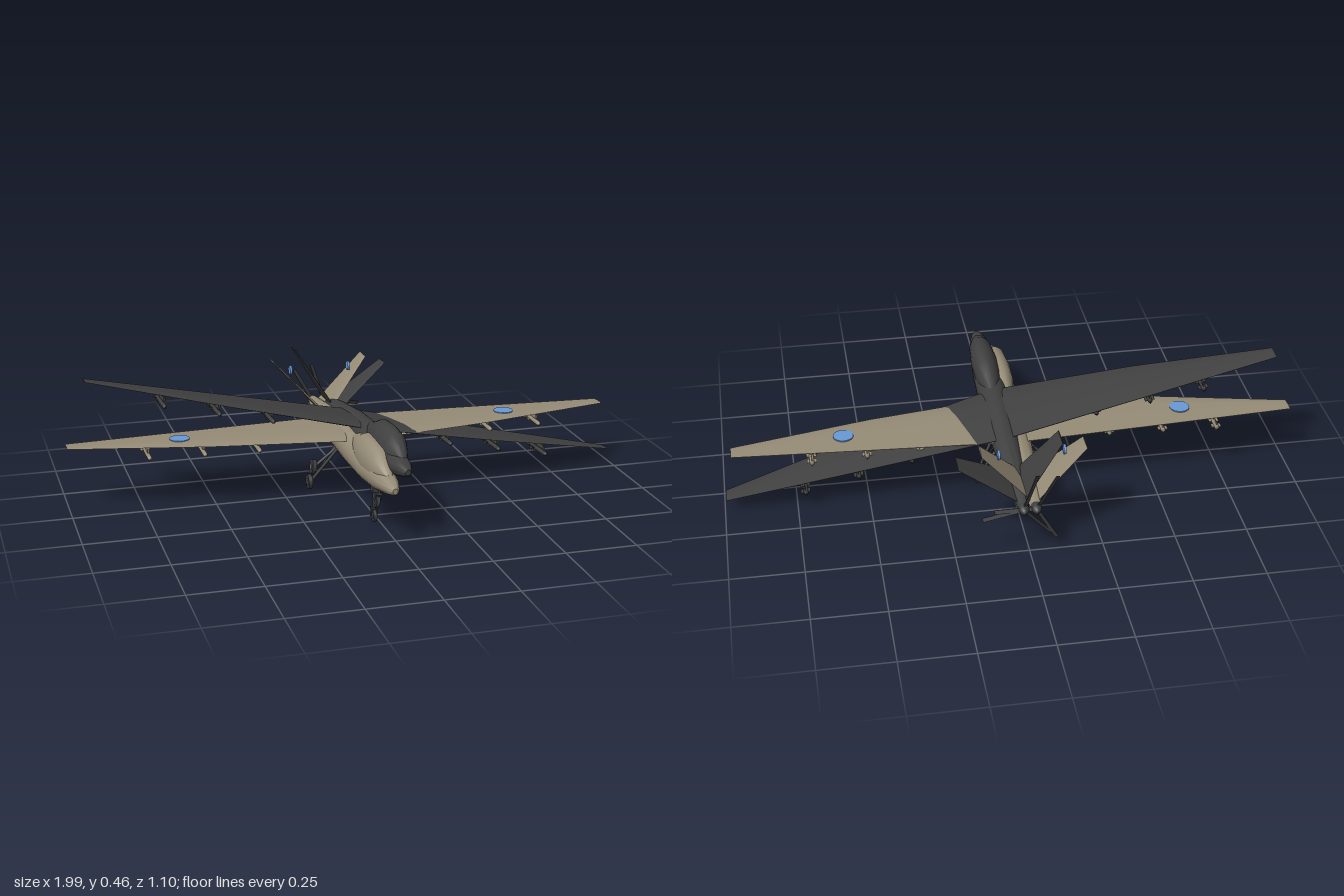
import * as THREE from 'three';
import { toCreasedNormals } from 'three/addons/utils/BufferGeometryUtils.js';

const material = (name, color) => {
  const m = new THREE.MeshStandardMaterial({ color });
  m.name = name;
  return m;
};
const V = (x, y, z) => new THREE.Vector3(x, y, z);

// Skin a list of closed rings, cap both ends, and keep faces outward
function loft(rings, crease = 0.6) {
  const n = rings[0].length, pts = rings.flat(), tris = [];
  for (let i = 0; i < rings.length - 1; i++) {
    for (let j = 0; j < n; j++) {
      const a = i * n + j, b = i * n + (j + 1) % n;
      tris.push([a, b, b + n], [a, b + n, a + n]);
    }
  }
  const last = (rings.length - 1) * n;
  for (let j = 1; j < n - 1; j++) tris.push([0, j + 1, j], [last, last + j, last + j + 1]);
  let volume = 0;
  for (const [a, b, c] of tris) volume += pts[a].dot(pts[b].clone().cross(pts[c]));
  const index = tris.flatMap(([a, b, c]) => (volume < 0 ? [a, c, b] : [a, b, c]));
  const g = new THREE.BufferGeometry().setFromPoints(pts);
  g.setIndex(index);
  return toCreasedNormals(g, crease);
}

// Elliptic body along z from stations [z, centreY, halfWidth, halfHeight]
const body = (stations, sides = 24) => loft(stations.map(([z, y, w, h]) =>
  Array.from({ length: sides }, (_, i) => {
    const a = (i / sides) * Math.PI * 2;
    return V(w * Math.cos(a), y + h * Math.sin(a), z);
  })));

// Airfoil outline: [fraction of chord, fraction of thickness]
const FOIL = [[0, 0], [0.08, 0.3], [0.3, 0.5], [0.65, 0.35], [1, 0.04],
  [1, -0.04], [0.65, -0.25], [0.3, -0.4], [0.08, -0.25]];
const foil = (x, y, lead, trail, thick, nx = 0, ny = 1) => FOIL.map(([c, t]) =>
  V(x + nx * t * thick, y + ny * t * thick, lead + (trail - lead) * c));

// Add a named mesh to a parent
function add(parent, name, geometry, mat, x = 0, y = 0, z = 0) {
  const mesh = new THREE.Mesh(geometry, mat);
  mesh.name = name;
  mesh.position.set(x, y, z);
  parent.add(mesh);
  return mesh;
}

// Round rod between two points
function rod(parent, name, a, b, r, mat) {
  const d = b.clone().sub(a), mid = a.clone().add(b).multiplyScalar(0.5);
  const m = add(parent, name, new THREE.CylinderGeometry(r, r, d.length(), 10), mat, mid.x, mid.y, mid.z);
  m.quaternion.setFromUnitVectors(V(0, 1, 0), d.normalize());
}

function wheel(parent, name, r, w, x, y, z, tyre, hub) {
  add(parent, name, new THREE.CylinderGeometry(r, r, w, 20).rotateZ(Math.PI / 2), tyre, x, y, z);
  add(parent, name + 'Hub', new THREE.CylinderGeometry(r * 0.5, r * 0.5, w + 0.004, 14).rotateZ(Math.PI / 2), hub, x, y, z);
}

// Missile with launch rail, nose at z = 0
function missile(skin) {
  const g = new THREE.Group();
  g.name = 'missile';
  const profile = [[0, -0.165], [0.008, -0.165], [0.008, -0.015], [0.006, -0.005], [0, 0]]
    .map(([r, z]) => new THREE.Vector2(r, z));
  add(g, 'missileBody', new THREE.LatheGeometry(profile, 12).rotateX(Math.PI / 2), skin);
  for (const z of [-0.112, -0.148]) {
    add(g, 'verticalFin', new THREE.BoxGeometry(0.002, 0.034, 0.022), skin, 0, 0, z);
    add(g, 'horizontalFin', new THREE.BoxGeometry(0.034, 0.002, 0.022), skin, 0, 0, z);
  }
  add(g, 'launchRail', new THREE.BoxGeometry(0.007, 0.014, 0.09), skin, 0, 0.018, -0.08);
  add(g, 'pylon', new THREE.BoxGeometry(0.004, 0.02, 0.05), skin, 0, 0.027, -0.08);
  return g;
}

function aircraft(skin, metal, hub, marking) {
  const craft = new THREE.Group(), g = new THREE.Group();
  g.name = 'airframe';
  g.position.set(0, -0.19, 0.54); // pivot at the propeller hub
  craft.add(g);

  // Fuselage and bulged upper nose
  add(g, 'fuselage', body([
    [0.55, 0.192, 0.009, 0.01], [0.535, 0.192, 0.018, 0.018], [0.49, 0.193, 0.031, 0.03],
    [0.4, 0.19, 0.044, 0.045], [0.28, 0.186, 0.052, 0.052], [0.1, 0.19, 0.055, 0.06],
    [-0.1, 0.19, 0.052, 0.056], [-0.3, 0.189, 0.04, 0.041], [-0.5, 0.187, 0.02, 0.019],
    [-0.52, 0.187, 0.016, 0.016]]), skin);
  add(g, 'noseBulge', body([
    [0.48, 0.215, 0.012, 0.01], [0.44, 0.217, 0.028, 0.038], [0.38, 0.218, 0.042, 0.067],
    [0.3, 0.218, 0.048, 0.073], [0.22, 0.218, 0.046, 0.072], [0.16, 0.22, 0.036, 0.048],
    [0.09, 0.222, 0.02, 0.026]]), skin);

  // One-piece wing, tip to tip
  const half = [[0.03, 0.115, -0.182, 0.026], [0.5, 0.043, -0.154, 0.014], [0.982, -0.062, -0.123, 0.005]];
  const spans = [...half.map(([x, ...r]) => [-x, ...r]).reverse(), ...half];
  add(g, 'wing', loft(spans.map(([x, l, t, h]) => foil(x, 0.227, l, t, h))), skin);

  for (const s of [-1, 1]) {
    // V tail
    add(g, 'tailFin', loft([
      foil(s * 0.01, 0.195, -0.315, -0.495, 0.012, -s * 0.75, 0.66),
      foil(s * 0.175, 0.375, -0.405, -0.48, 0.005, -s * 0.75, 0.66)]), skin);

    // Underwing stores
    for (const [x, z] of [[0.33, 0.038], [0.52, 0.028], [0.71, 0.015]]) {
      const m = missile(skin);
      m.position.set(s * x, 0.192, z);
      g.add(m);
    }

    // Main landing gear
    rod(g, 'mainLeg', V(s * 0.03, 0.155, -0.04), V(s * 0.122, 0.03, -0.07), 0.006, metal);
    rod(g, 'mainBrace', V(s * 0.03, 0.15, -0.09), V(s * 0.1, 0.06, -0.063), 0.003, metal);
    wheel(g, 'mainWheel', 0.026, 0.014, s * 0.13, 0.026, -0.07, metal, hub);

    // Round markings on wings and tail
    if (marking) {
      add(g, 'wingMarking', new THREE.CylinderGeometry(0.035, 0.035, 0.005, 28), marking, s * 0.595, 0.233, -0.057);
      add(g, 'tailMarking', new THREE.CylinderGeometry(0.017, 0.017, 0.008, 20).rotateZ(Math.PI / 2), marking, s * 0.11, 0.34, -0.42);
    }
  }

  // Nose landing gear
  rod(g, 'noseLeg', V(0, 0.15, 0.31), V(0, 0.045, 0.305), 0.006, metal);
  add(g, 'noseLegJoint', new THREE.BoxGeometry(0.022, 0.022, 0.032), metal, 0, 0.122, 0.313);
  for (const s of [-1, 1]) rod(g, 'noseFork', V(s * 0.01, 0.052, 0.305), V(s * 0.01, 0.02, 0.305), 0.003, metal);
  add(g, 'forkCrown', new THREE.BoxGeometry(0.024, 0.008, 0.012), metal, 0, 0.05, 0.305);
  wheel(g, 'noseWheel', 0.02, 0.012, 0, 0.02, 0.305, metal, hub);

  // Pusher propeller with three blades
  const spinner = [[0, -0.55], [0.01, -0.545], [0.017, -0.53], [0.018, -0.51]].map(([r, z]) => new THREE.Vector2(r, z));
  add(g, 'spinner', new THREE.LatheGeometry(spinner, 16).rotateX(Math.PI / 2), metal, 0, 0.187, 0);
  for (let i = 0; i < 3; i++) {
    const pivot = new THREE.Group();
    pivot.name = 'propellerBlade';
    pivot.position.set(0, 0.187, -0.527);
    pivot.rotation.z = (i * Math.PI * 2) / 3;
    const blade = add(pivot, 'blade', new THREE.BoxGeometry(0.13, 0.014, 0.003), metal, 0.075, 0, 0);
    blade.rotation.x = 0.45;
    g.add(pivot);
  }
  return craft;
}

export function createModel() {
  const model = new THREE.Group();
  model.name = 'dronePair';
  const tan = material('tan paint', 0x968c77);
  const dark = material('dark grey paint', 0x404040);
  const metal = material('gear grey', 0x3c3d40);
  const hub = material('hub grey', 0x5c5d60);
  const blue = material('blue marking', 0x6a9ad8);

  // Level tan aircraft
  const level = aircraft(tan, metal, hub, blue);
  level.name = 'tanAircraft';
  level.position.set(-0.018, 0.19, -0.54);

  // Dark aircraft, banked and pitched nose-up about its tail
  const banked = aircraft(dark, metal, hub, null);
  banked.name = 'darkAircraft';
  banked.position.set(0.025, 0.19, -0.54);
  banked.rotation.set(-0.056, 0, -0.209);

  model.add(level, banked);
  return model;
}
